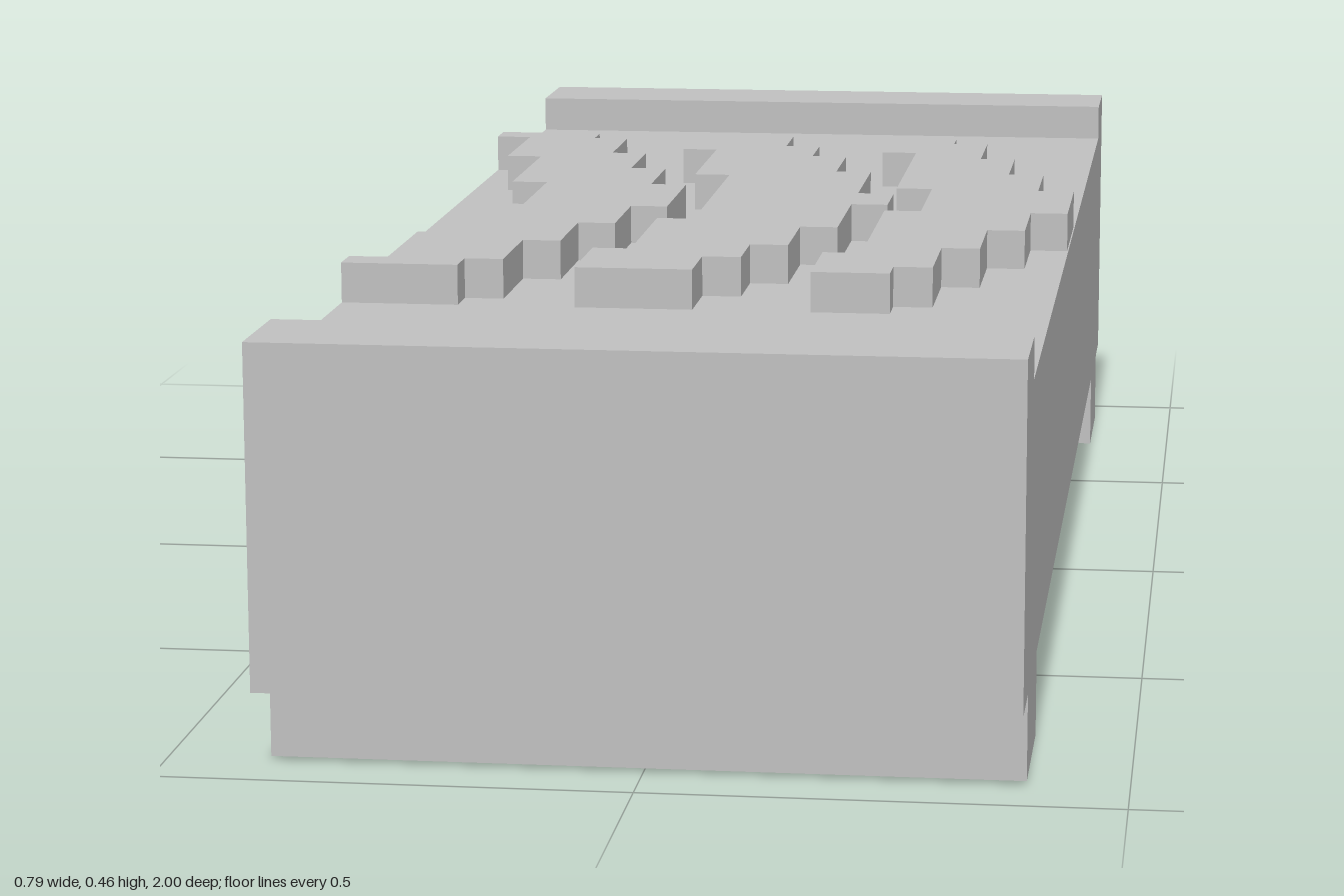
import * as THREE from 'three';

const U = 0.0437;                 // grid step shared by all stepped details
const W = 0.394, L = 1;           // half width and half length
const BASE = 0.092, DECK = 0.411, TOP = 0.456;

const shapeOf = (pts) => new THREE.Shape(pts.map(([a, b]) => new THREE.Vector2(a, b)));
const mirrorEnds = (half) => [...half, ...half.map(([z, y]) => [-z, y]).reverse()];

export function createModel() {
  const group = new THREE.Group();
  const grey = new THREE.MeshStandardMaterial({ color: 0xc0c0c0 });
  grey.name = 'light grey';
  grey.flatShading = true;

  const add = (name, geometry) => {
    const mesh = new THREE.Mesh(geometry, grey);
    mesh.name = name;
    group.add(mesh);
  };
  // side profile (z, y) swept from x0 to x1
  const sweepX = (pts, x0, x1) =>
    new THREE.ExtrudeGeometry(shapeOf(pts), { depth: x1 - x0, bevelEnabled: false })
      .rotateY(Math.PI / 2).translate(x0, 0, 0);
  // plan outline raised from y0 to y1
  const raise = (shape, y0, y1) =>
    new THREE.ExtrudeGeometry(shape, { depth: y1 - y0, bevelEnabled: false })
      .rotateX(-Math.PI / 2).translate(0, y0, 0);

  // Body with a raised lip at each end; the left wall has a small socket near each end
  const upper = [[L, BASE], [L, TOP], [0.872, TOP], [0.872, DECK]];
  const socket = [[0.87, BASE], [0.87, BASE + U], [0.913, BASE + U], [0.913, BASE]];
  add('body', sweepX(mirrorEnds(upper), -W + U, W));
  add('socketWall', sweepX(mirrorEnds([...socket, ...upper]), -W, -W + U));

  // Base plate: recessed along both sides, with two long slots through it
  const e = 0.913, s = 0.74, left = -W + U, right = W - 2 * U;
  const plan = shapeOf([
    [-W, -e], [W, -e], [W, -s], [right, -s], [right, s], [W, s],
    [W, e], [-W, e], [-W, s], [left, s], [left, -s], [-W, -s],
  ]);
  for (const [a, b] of [[4, 7], [10, 14]]) {
    const x0 = -W + a * U, x1 = -W + b * U;
    plan.holes.push(new THREE.Path([[x0, -s], [x0, s], [x1, s], [x1, -s]]
      .map(([x, z]) => new THREE.Vector2(x, z))));
  }
  add('slottedBase', raise(plan, 0, BASE));

  // Three stepped, curved ridges. Each edge starts at a column and moves one
  // step right at every listed row, then back again past the middle.
  const steppedEdge = (column, rows) => {
    const pts = [];
    let z = 12;
    rows.concat(0).forEach((next, i) => {
      pts.push([column + i, z]);
      if (next) pts.push([column + i, next]);
      z = next;
    });
    return [...pts, ...pts.map(([x, r]) => [x, -r]).reverse()]
      .map(([x, r]) => [-W + x * U, r * U]);
  };
  const ridges = [
    { near: [0, [11, 7, 2]], far: [3, [11, 8, 5, 2]] },
    { near: [6, [9, 4]], far: [9, [10, 8, 5, 1]] },
    { near: [12, [9, 2]], far: [14, [11, 8, 5, 2]] },
  ];
  ridges.forEach(({ near, far }, i) => {
    const outline = [...steppedEdge(...near), ...steppedEdge(...far).reverse()];
    add(`waveRidge${i + 1}`, raise(shapeOf(outline), DECK, TOP));
  });

  return group;
}
